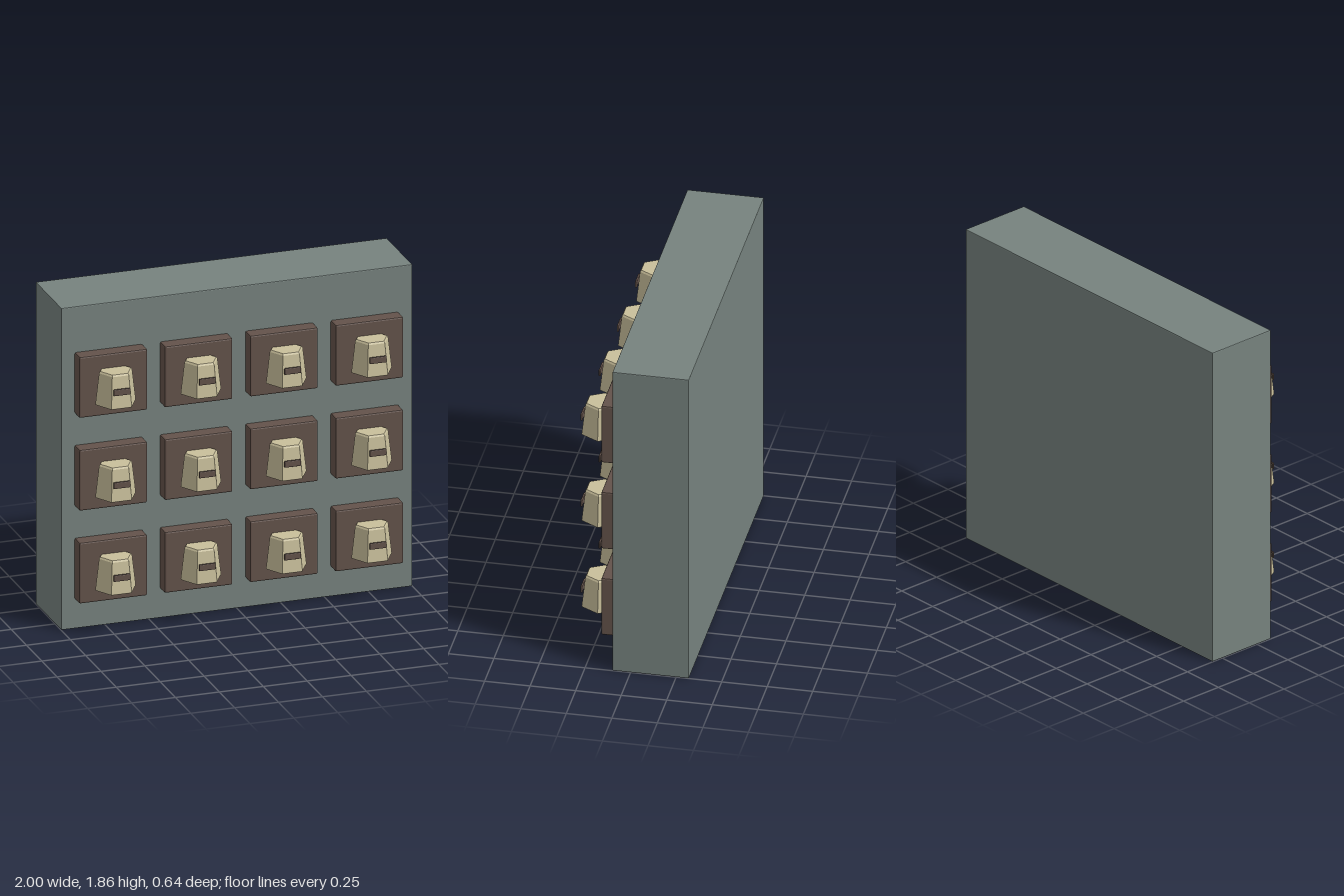
import * as THREE from 'three';
import { RoundedBoxGeometry } from 'three/addons/geometries/RoundedBoxGeometry.js';

const material = (color) => new THREE.MeshStandardMaterial({ color, flatShading: true });

function addPart(parent, name, geometry, mat, x, y, z) {
  const mesh = new THREE.Mesh(geometry, mat);
  mesh.name = name;
  mesh.position.set(x, y, z);
  parent.add(mesh);
}

export function createModel() {
  const model = new THREE.Group();
  model.name = 'helmetWall';
  const stone = material(0x76827e);
  const wood = material(0x63524a);
  const bone = material(0xc9bf9b);

  // Thick wall slab with slightly softened edges
  addPart(model, 'wall', new RoundedBoxGeometry(2, 1.855, 0.42, 1, 0.005), stone, 0, 0.9275, -0.11);

  // Shared shapes: backing plaque, six-sided tapered helmet, visor slit
  const plaque = new RoundedBoxGeometry(0.387, 0.352, 0.09, 1, 0.009);
  const profile = [[0, -0.095], [0.113, -0.095], [0.115, -0.09], [0.094, 0.085], [0.087, 0.095], [0, 0.095]];
  const helmet = new THREE.LatheGeometry(
    profile.map(([r, y]) => new THREE.Vector2(r, y)), 6, Math.PI / 2);
  const slit = new RoundedBoxGeometry(0.095, 0.038, 0.012, 1, 0.005);

  // Grid of mounted helmets, four across and three high
  for (let row = 0; row < 3; row++) {
    for (let col = 0; col < 4; col++) {
      const mount = new THREE.Group();
      mount.name = `mount${row * 4 + col + 1}`;
      mount.position.set((col - 1.5) * 0.486 - 0.001, 0.345 + row * 0.535, 0);
      addPart(mount, 'plaque', plaque, wood, 0, 0, 0.133);
      addPart(mount, 'helmet', helmet, bone, 0, 0, 0.213);
      addPart(mount, 'visorSlit', slit, wood, 0, 0.003, 0.317);
      model.add(mount);
    }
  }
  return model;
}
